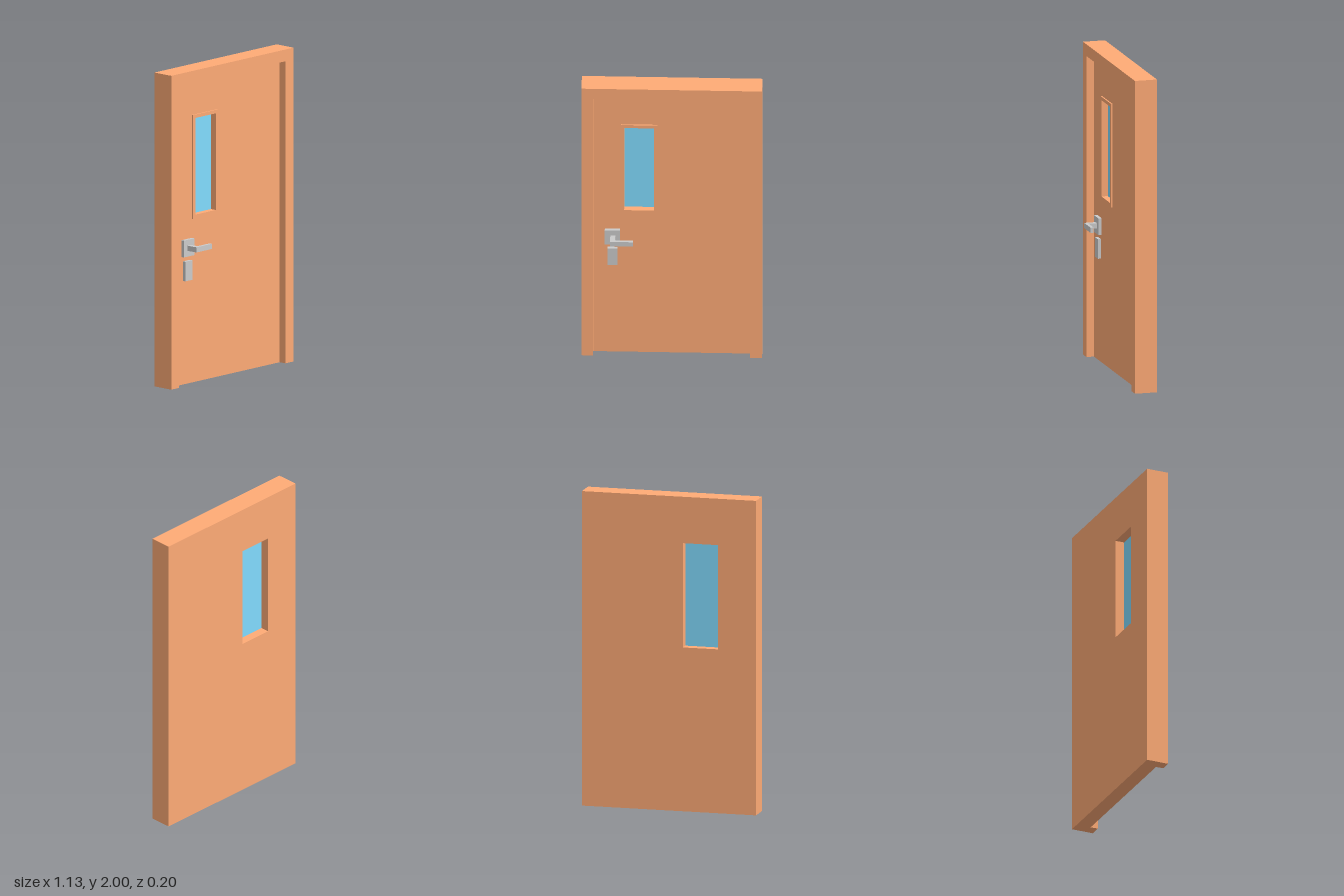
import * as THREE from 'three';

const wood = new THREE.MeshStandardMaterial({ color: 0xffab76 });
const glass = new THREE.MeshStandardMaterial({ color: 0x82dcff });
const metal = new THREE.MeshStandardMaterial({ color: 0xcccccc });

// Corners of a rectangle, counter-clockwise
const rect = (x0, x1, y0, y1) =>
  [[x0, y0], [x1, y0], [x1, y1], [x0, y1]].map(([x, y]) => new THREE.Vector2(x, y));

// Flat outline, optionally with a hole, extruded from z0 to z1
function slab(name, outline, hole, z0, z1, material) {
  const shape = new THREE.Shape(outline);
  if (hole) shape.holes.push(new THREE.Path(hole));
  const geometry = new THREE.ExtrudeGeometry(shape, { depth: z1 - z0, bevelEnabled: false });
  geometry.translate(0, 0, z0);
  const mesh = new THREE.Mesh(geometry, material);
  mesh.name = name;
  return mesh;
}

// Box given by its limits on each axis
function block(name, x0, x1, y0, y1, z0, z1, material) {
  const mesh = new THREE.Mesh(new THREE.BoxGeometry(x1 - x0, y1 - y0, z1 - z0), material);
  mesh.position.set((x0 + x1) / 2, (y0 + y1) / 2, (z0 + z1) / 2);
  mesh.name = name;
  return mesh;
}

export function createModel() {
  const W = 0.563, H = 2, BACK = -0.096, FACE = -0.002, FRONT = 0.047;
  const opening = rect(-0.318, -0.09, 1.042, 1.705);
  const door = new THREE.Group();
  door.name = 'door';

  // Door panel with the window opening
  door.add(slab('doorPanel', rect(-W, W, 0, H), opening, BACK, FACE, wood));

  // Raised surround: two jambs and a header, open at the floor
  const surround = [[-W, 0], [-0.49, 0], [-0.49, 1.925], [0.488, 1.925],
    [0.488, 0], [W, 0], [W, H], [-W, H]].map(([x, y]) => new THREE.Vector2(x, y));
  door.add(slab('doorFrame', surround, null, FACE, FRONT, wood));

  // Window: trim set into the opening, pane behind it
  door.add(slab('windowTrim', opening, rect(-0.297, -0.11, 1.067, 1.683), -0.034, 0.007, wood));
  door.add(block('windowPane', -0.318, -0.09, 1.042, 1.705, -0.038, -0.034, glass));

  // Handle and lock
  const handle = new THREE.Group();
  handle.name = 'handle';
  handle.add(
    block('handlePlate', -0.418, -0.322, 0.815, 0.922, FACE, 0.02, metal),
    block('handleStem', -0.383, -0.352, 0.852, 0.885, 0.02, 0.074, metal),
    block('handleLever', -0.383, -0.241, 0.852, 0.885, 0.074, 0.094, metal),
    block('lockPlate', -0.402, -0.338, 0.66, 0.785, FACE, 0.018, metal)
  );
  door.add(handle);

  // The whole door stands very slightly turned
  door.rotation.y = 0.008;
  const model = new THREE.Group();
  model.name = 'doorModel';
  model.add(door);
  return model;
}
